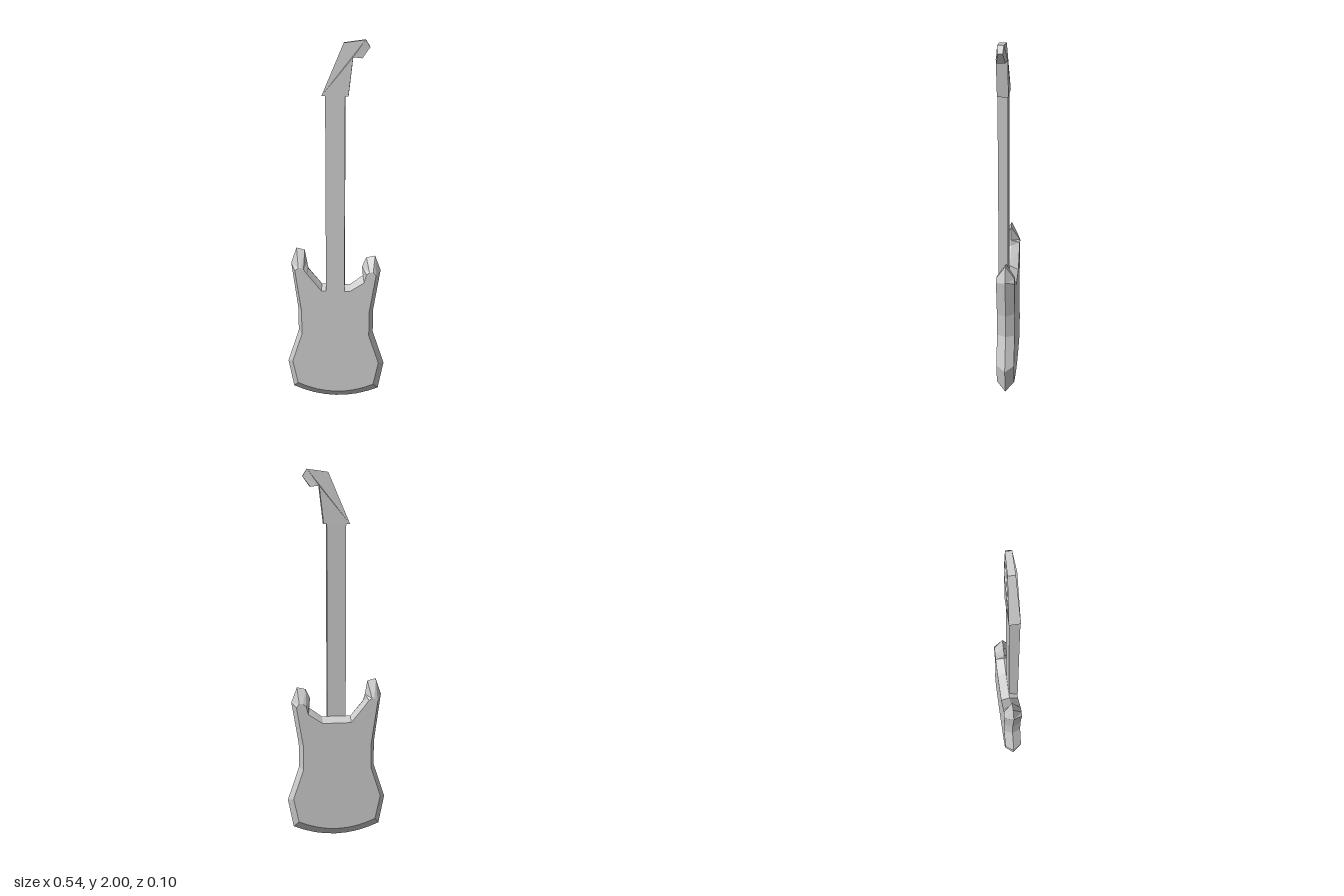
import * as THREE from 'three';

const material = new THREE.MeshStandardMaterial({ color: 0xcccccc, flatShading: true });

// Skins a stack of matching outlines (front to back, counter-clockwise seen from +z) and caps both ends.
function loft(name, rings) {
  const pos = [];
  const n = rings[0].length;
  const tri = (a, b, c) => pos.push(...a, ...b, ...c);
  for (let r = 0; r < rings.length - 1; r++) {
    const f = rings[r], k = rings[r + 1];
    for (let i = 0; i < n; i++) {
      const j = (i + 1) % n;
      tri(f[i], k[i], k[j]);
      tri(f[i], k[j], f[j]);
    }
  }
  const first = rings[0], last = rings[rings.length - 1];
  const faces = THREE.ShapeUtils.triangulateShape(first.map(p => new THREE.Vector2(p[0], p[1])), []);
  for (const [a, b, c] of faces) {
    tri(first[a], first[b], first[c]);
    tri(last[a], last[c], last[b]);
  }
  const geometry = new THREE.BufferGeometry();
  geometry.setAttribute('position', new THREE.Float32BufferAttribute(pos, 3));
  geometry.computeVertexNormals();
  const mesh = new THREE.Mesh(geometry, material);
  mesh.name = name;
  return mesh;
}

// Curved bottom edge from left to right, sampled without its end point.
function bottomArc(halfWidth, endY, midY, steps = 8) {
  const pts = [];
  for (let i = 0; i < steps; i++) {
    const t = -1 + (2 * i) / steps;
    pts.push([halfWidth * t, midY + (endY - midY) * t * t]);
  }
  return pts;
}

function createBody() {
  // Widest outline, at mid thickness
  const rim = [
    ...bottomArc(0.24, 0.06, 0.004),
    [0.24, 0.06], [0.27, 0.222], [0.206, 0.415], [0.206, 0.55],
    [0.243, 0.785], [0.212, 0.868], [0.165, 0.857], [0.142, 0.805], [0.147, 0.752],
    [0.078, 0.7], [-0.076, 0.7],
    [-0.148, 0.787], [-0.155, 0.82], [-0.168, 0.895], [-0.213, 0.907], [-0.243, 0.82],
    [-0.208, 0.55], [-0.208, 0.415], [-0.27, 0.222]
  ];
  // Smaller outline of the flat faces
  const face = [
    ...bottomArc(0.212, 0.108, 0.058),
    [0.212, 0.108], [0.24, 0.245], [0.184, 0.412], [0.184, 0.553],
    [0.218, 0.768], [0.203, 0.79], [0.183, 0.787], [0.167, 0.775], [0.155, 0.728],
    [0.078, 0.676], [-0.076, 0.676],
    [-0.153, 0.772], [-0.172, 0.798], [-0.188, 0.808], [-0.2, 0.808], [-0.219, 0.79],
    [-0.186, 0.553], [-0.186, 0.412], [-0.24, 0.245]
  ];
  const at = (pts, z) => pts.map(([x, y]) => [x, y, z]);
  return loft('body', [at(face, 0.045), at(rim, -0.004), at(face, -0.052)]);
}

function createNeck() {
  const neck = new THREE.Mesh(new THREE.BoxGeometry(0.1, 1.11, 0.051), material);
  neck.position.set(-0.001, 1.175, 0.0215);
  neck.name = 'neck';
  return neck;
}

function createHeadstock() {
  // x, y, back z, front z: the tip gets thinner
  const outline = [
    [-0.07, 1.728, -0.008, 0.046], [0.065, 1.728, -0.008, 0.048],
    [0.087, 1.918, -0.006, 0.05], [0.132, 1.912, 0.0, 0.043],
    [0.17, 1.965, 0.01, 0.034], [0.147, 2.0, 0.006, 0.037],
    [0.04, 1.985, 0.002, 0.037]
  ];
  return loft('headstock', [
    outline.map(([x, y, , f]) => [x, y, f]),
    outline.map(([x, y, b]) => [x, y, b])
  ]);
}

export function createModel() {
  const group = new THREE.Group();
  group.name = 'guitar';
  group.add(createBody(), createNeck(), createHeadstock());
  return group;
}
